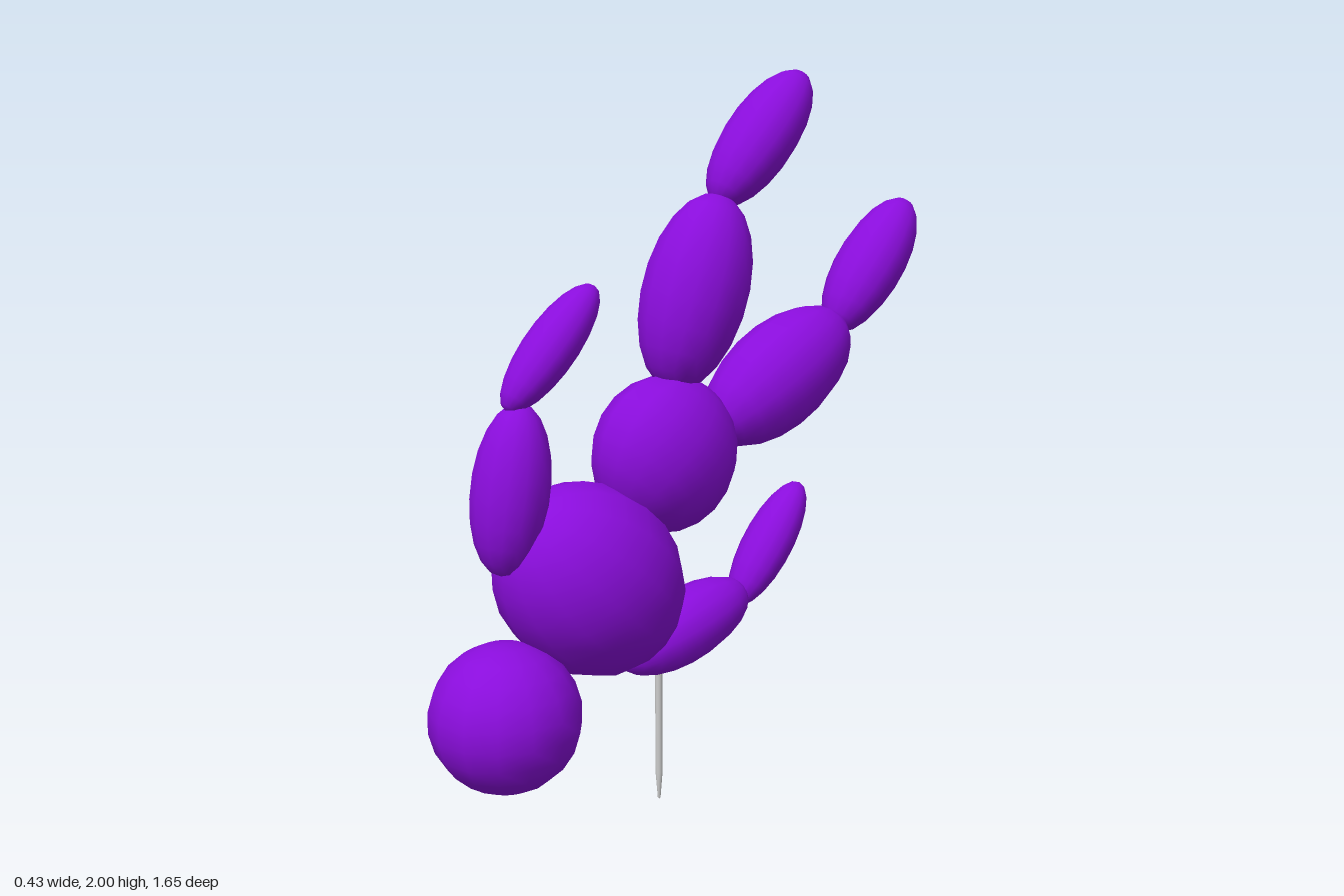
import * as THREE from 'three';

export function createModel() {
  const model = new THREE.Group();
  const purple = new THREE.MeshStandardMaterial({ color: 0x8a0ddc });
  const grey = new THREE.MeshStandardMaterial({ color: 0xcccccc });

  // Unit ball with a face, rather than a seam, on each side
  const ball = new THREE.SphereGeometry(1, 14, 11);
  ball.rotateY(Math.PI / 14);
  ball.scale(1.015, 1.0, 1.015);

  // Ellipsoid in the middle plane: centre, half sizes, tilt of its long axis from upright
  // (negative tilt leans to the back)
  function blob(name, y, z, halfX, halfLong, halfWide, tilt) {
    const mesh = new THREE.Mesh(ball, purple);
    mesh.name = name;
    mesh.position.set(0, y, z);
    mesh.scale.set(halfX, halfLong, halfWide);
    mesh.rotation.x = THREE.MathUtils.degToRad(tilt);
    model.add(mesh);
  }

  // Body
  blob('head', 0.355, 0.63, 0.198, 0.198, 0.198, 0);
  blob('chest', 0.675, 0.36, 0.22, 0.29, 0.245, 48);
  blob('pelvis', 0.98, 0.105, 0.165, 0.217, 0.213, -45);

  // Arms
  blob('raisedForearm', 0.95, 0.6, 0.103, 0.222, 0.1, -9);
  blob('raisedHand', 1.3, 0.472, 0.075, 0.202, 0.067, -43);
  blob('loweredForearm', 0.487, 0.04, 0.103, 0.228, 0.1, -73);
  blob('loweredHand', 0.672, -0.267, 0.075, 0.202, 0.067, -37);

  // Legs
  blob('upperThigh', 1.41, 0, 0.14, 0.272, 0.147, -19);
  blob('upperFoot', 1.815, -0.227, 0.102, 0.232, 0.095, -42);
  blob('lowerThigh', 1.155, -0.302, 0.14, 0.275, 0.147, -60);
  blob('lowerFoot', 1.447, -0.657, 0.102, 0.232, 0.095, -39);

  // Support pin with a tapered tip
  const profile = [[0, 0], [0.004, 0.005], [0.01, 0.08], [0.01, 0.46], [0, 0.46]];
  const pin = new THREE.Mesh(
    new THREE.LatheGeometry(profile.map(([r, y]) => new THREE.Vector2(r, y)), 12), grey);
  pin.name = 'supportPin';
  pin.position.z = 0.13;
  model.add(pin);

  return model;
}
